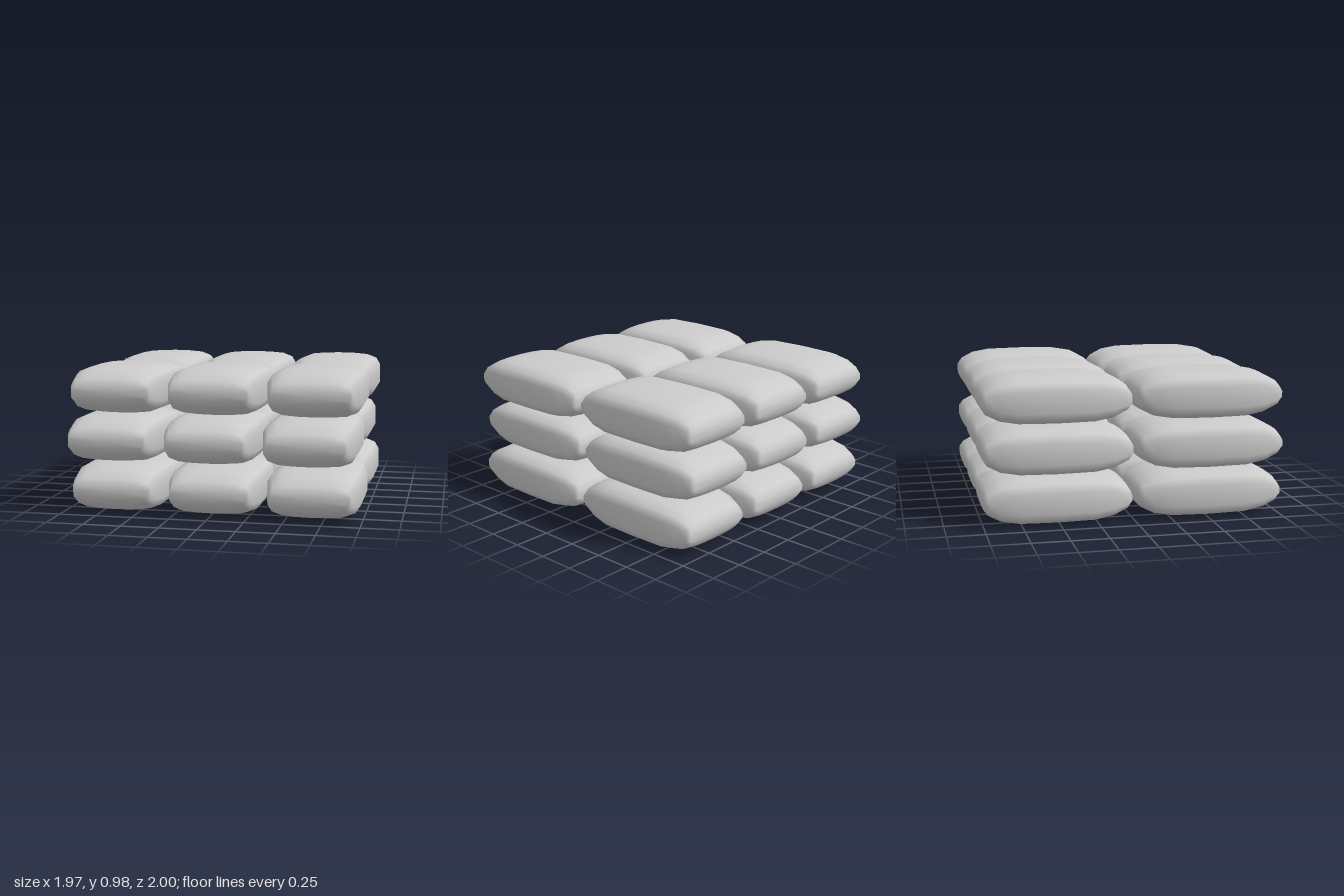
import * as THREE from 'three';

// Cross-sections along the bag: [z, half width, half height]
const HALF = [[0.4875, 0.255, 0.045], [0.46, 0.266, 0.09], [0.375, 0.286, 0.135], [0.25, 0.309, 0.156]];
const SECTIONS = [...HALF.map(([z, w, h]) => [-z, w, h]), [0, 0.31, 0.161], ...HALF.slice().reverse()];

// One quarter of the pillow-shaped outline, in units of half width and half height
const QUARTER = [[1, 0.43], [0.9, 0.76], [0.68, 0.93], [0.35, 0.985]];

// Full outline, counter-clockwise
const upper = [...QUARTER, [0, 1], ...QUARTER.slice().reverse().map(([x, y]) => [-x, y])];
const OUTLINE = [...upper, ...upper.map(([x, y]) => [-x, -y])];

function bagGeometry() {
  const positions = [], index = [];
  const n = OUTLINE.length, rows = SECTIONS.length;
  for (const [z, w, h] of SECTIONS) {
    for (const [x, y] of OUTLINE) positions.push(x * w, y * h, z);
  }
  for (let r = 0; r < rows - 1; r++) {
    for (let i = 0; i < n; i++) {
      const j = (i + 1) % n;
      const a = r * n + i, b = r * n + j, c = b + n, d = a + n;
      index.push(a, b, c, a, c, d);
    }
  }
  // Narrow end caps
  const back = rows * n, front = back + 1, last = (rows - 1) * n;
  positions.push(0, 0, SECTIONS[0][0], 0, 0, SECTIONS[rows - 1][0]);
  for (let i = 0; i < n; i++) {
    const j = (i + 1) % n;
    index.push(back, j, i, front, last + i, last + j);
  }
  const geometry = new THREE.BufferGeometry();
  geometry.setAttribute('position', new THREE.Float32BufferAttribute(positions, 3));
  geometry.setIndex(index);
  geometry.computeVertexNormals();
  return geometry;
}

export function createModel() {
  const model = new THREE.Group();
  model.name = 'sandbagStack';
  const material = new THREE.MeshStandardMaterial({ color: 0xcccccc });
  const geometry = bagGeometry();

  // Three layers, the middle one shifted sideways
  [0.169, 0.5, 0.828].forEach((y, level) => {
    const layer = new THREE.Group();
    layer.name = ['bottomLayer', 'middleLayer', 'topLayer'][level];
    const shift = level === 1 ? -0.016 : 0.014;
    for (const z of [0.5125, -0.5125]) {
      for (const x of [-0.659, 0, 0.659]) {
        const bag = new THREE.Mesh(geometry, material);
        bag.name = 'sandbag';
        bag.position.set(x + shift, y, z);
        layer.add(bag);
      }
    }
    model.add(layer);
  });
  return model;
}
